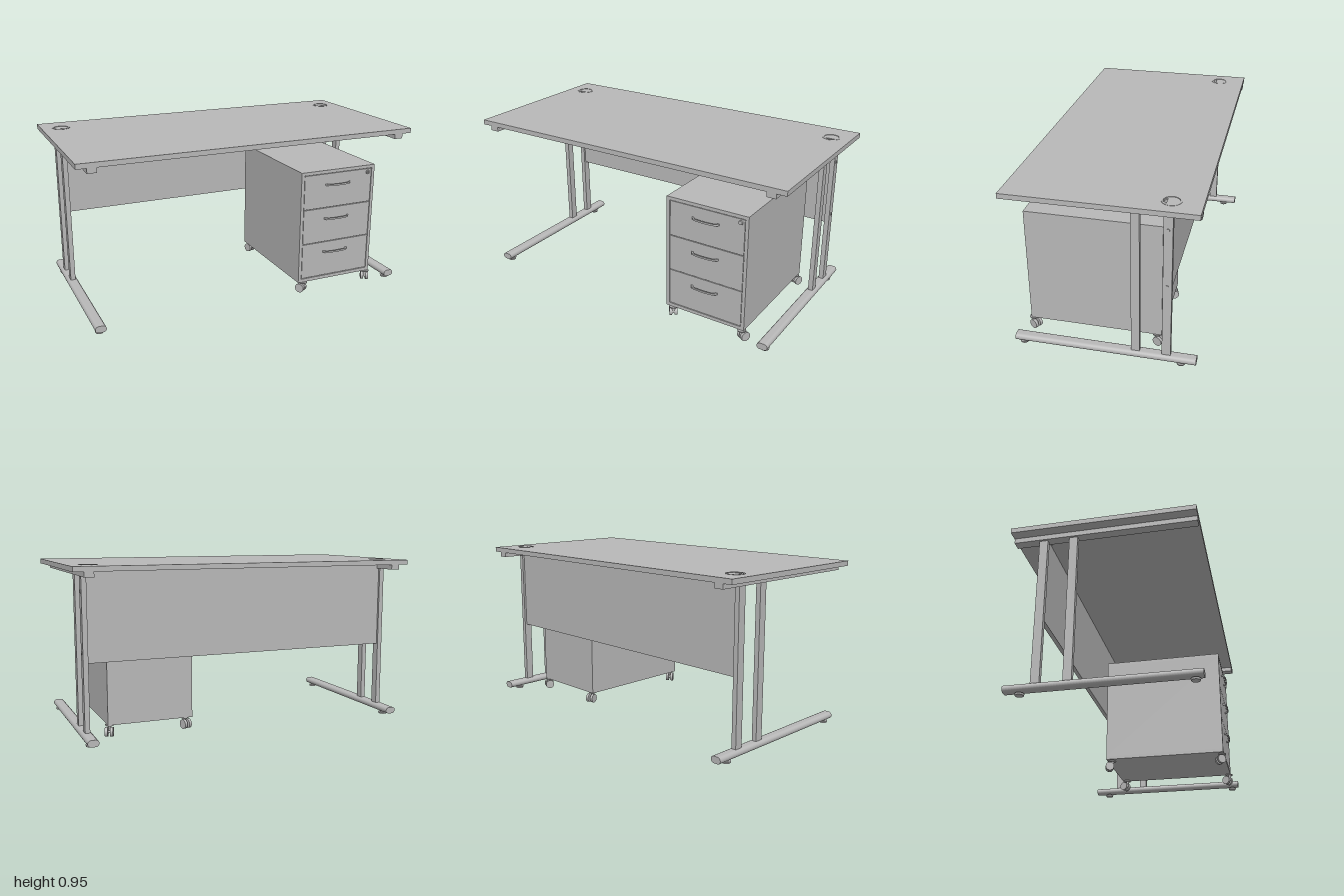
import * as THREE from 'three';

const gray = new THREE.MeshStandardMaterial({ color: 0xb8b8b8 });
gray.name = 'plain gray';

function add(parent, name, geometry, x = 0, y = 0, z = 0) {
  const mesh = new THREE.Mesh(geometry, gray);
  mesh.name = name;
  mesh.position.set(x, y, z);
  parent.add(mesh);
  return mesh;
}

// Box given by its limits on each axis
function block(parent, name, [x0, x1], [y0, y1], [z0, z1]) {
  return add(parent, name, new THREE.BoxGeometry(x1 - x0, y1 - y0, z1 - z0),
    (x0 + x1) / 2, (y0 + y1) / 2, (z0 + z1) / 2);
}

function extrude(shape, depth) {
  return new THREE.ExtrudeGeometry(shape, { depth, bevelEnabled: false, curveSegments: 24 });
}

// Flat plate drawn in plan (shape y points to the back), standing on y
function plate(parent, name, shape, x, y, z, thickness) {
  return add(parent, name, extrude(shape, thickness).rotateX(-Math.PI / 2), x, y, z);
}

function circle(r, x = 0, y = 0, Type = THREE.Shape) {
  const path = new Type();
  path.absarc(x, y, r, 0, Math.PI * 2, false);
  return path;
}

const GROMMET = { x: 0.888, z: -0.343, r: 0.048 };

function createTop() {
  const group = new THREE.Group();
  group.name = 'desktop';
  const board = new THREE.Shape([[-1, -0.5], [1, -0.5], [1, 0.5], [-1, 0.5]].map(p => new THREE.Vector2(...p)));
  for (const s of [-1, 1]) board.holes.push(circle(GROMMET.r, s * GROMMET.x, -GROMMET.z, THREE.Path));
  plate(group, 'worktop', board, 0, 0.925, 0, 0.028);

  // Cable grommets: flush ring and cap with a slot to the front
  for (const s of [-1, 1]) {
    const ring = circle(GROMMET.r + 0.003);
    ring.holes.push(circle(GROMMET.r - 0.006, 0, 0, THREE.Path));
    plate(group, 'grommetRing', ring, s * GROMMET.x, 0.926, GROMMET.z, 0.0285);
    const cap = circle(GROMMET.r - 0.007);
    const slot = new THREE.Path();
    slot.moveTo(-0.026, -0.022);
    slot.lineTo(0.026, -0.022);
    slot.quadraticCurveTo(0.018, -0.036, 0, -0.038);
    slot.quadraticCurveTo(-0.018, -0.036, -0.026, -0.022);
    cap.holes.push(slot);
    plate(group, 'grommetCap', cap, s * GROMMET.x, 0.944, GROMMET.z, 0.008);
  }
  return group;
}

function createLegFrame(x) {
  const group = new THREE.Group();
  group.name = 'legFrame';
  block(group, 'supportBar', [x - 0.026, x + 0.026], [0.897, 0.925], [-0.498, 0.498]);
  block(group, 'frontPost', [x - 0.014, x + 0.014], [0.05, 0.897], [-0.194, -0.148]);
  block(group, 'backPost', [x - 0.014, x + 0.014], [0.05, 0.897], [-0.36, -0.313]);

  // Foot rail with rounded sides
  const r = 0.019, half = 0.012;
  const oval = new THREE.Shape();
  oval.absarc(half, 0, r, -Math.PI / 2, Math.PI / 2, false);
  oval.absarc(-half, 0, r, Math.PI / 2, Math.PI * 1.5, false);
  add(group, 'footRail', extrude(oval, 0.996), x, 0.038, -0.498);

  // Adjustable glides
  for (const z of [0.456, -0.415]) {
    add(group, 'glideDisc', new THREE.CylinderGeometry(0.025, 0.022, 0.01, 24), x, 0.007, z);
    add(group, 'glideStem', new THREE.CylinderGeometry(0.01, 0.014, 0.012, 16), x, 0.016, z);
  }
  return group;
}

function createCastor(x, z, angle) {
  const group = new THREE.Group();
  group.name = 'castor';
  for (const s of [-1, 1]) {
    const wheel = new THREE.CylinderGeometry(0.027, 0.027, 0.016, 24).rotateZ(Math.PI / 2);
    add(group, 'wheel', wheel, s * 0.015, 0.027, -0.01);
  }
  add(group, 'axle', new THREE.CylinderGeometry(0.008, 0.008, 0.03, 12).rotateZ(Math.PI / 2), 0, 0.027, -0.01);
  add(group, 'swivelStem', new THREE.CylinderGeometry(0.009, 0.009, 0.04, 12), 0, 0.045, 0.008);
  add(group, 'mountPlate', new THREE.CylinderGeometry(0.024, 0.024, 0.006, 20), 0, 0.063, 0.004);
  group.position.set(x, 0, z);
  group.rotation.y = angle;
  return group;
}

function createPedestal() {
  const group = new THREE.Group();
  group.name = 'drawerPedestal';
  const X = [0.295, 0.788], Z = [-0.285, 0.46], t = 0.019;
  const inner = [X[0] + t, X[1] - t];
  block(group, 'cabinetTop', X, [0.727, 0.746], Z);
  block(group, 'cabinetBase', X, [0.067, 0.087], Z);
  block(group, 'leftSide', [inner[1], X[1]], [0.087, 0.727], Z);
  block(group, 'rightSide', [X[0], inner[0]], [0.087, 0.727], Z);
  block(group, 'backPanel', inner, [0.087, 0.727], [Z[0], Z[0] + t]);
  block(group, 'drawerBodies', inner, [0.087, 0.727], [-0.2, 0.435]);

  // Drawer fronts with bow handles
  const cx = (X[0] + X[1]) / 2 - 0.004;
  [[0.091, 0.303, 0.243], [0.307, 0.516, 0.452], [0.52, 0.724, 0.659]].forEach(([y0, y1, hy]) => {
    block(group, 'drawerFront', [inner[0] + 0.003, inner[1] - 0.003], [y0, y1], [0.435, 0.459]);
    const bow = new THREE.Shape();
    bow.moveTo(-0.083, 0);
    bow.quadraticCurveTo(-0.078, -0.02, -0.055, -0.024);
    bow.quadraticCurveTo(0, -0.032, 0.055, -0.024);
    bow.quadraticCurveTo(0.078, -0.02, 0.083, 0);
    bow.lineTo(0.072, 0);
    bow.quadraticCurveTo(0.068, -0.014, 0.052, -0.017);
    bow.quadraticCurveTo(0, -0.023, -0.052, -0.017);
    bow.quadraticCurveTo(-0.068, -0.014, -0.072, 0);
    plate(group, 'handle', bow, cx, hy - 0.005, 0.458, 0.01);
  });

  // Lock
  add(group, 'lock', new THREE.CylinderGeometry(0.011, 0.013, 0.008, 20).rotateX(Math.PI / 2), 0.742, 0.704, 0.462);
  block(group, 'keySlot', [0.7405, 0.7435], [0.697, 0.711], [0.465, 0.4675]);

  // Twin-wheel castors turned at various angles
  for (const [x, z, a] of [[0.332, 0.447, 0.6], [0.774, 0.447, -0.5], [0.332, -0.26, 0.3], [0.774, -0.26, -0.4]]) {
    group.add(createCastor(x, z, a));
  }
  return group;
}

export function createModel() {
  const model = new THREE.Group();
  model.name = 'desk';
  model.add(createTop());
  for (const s of [-1, 1]) model.add(createLegFrame(s * 0.917));
  block(model, 'modestyPanel', [-0.903, 0.903], [0.432, 0.925], [-0.348, -0.325]);

  // Panel fixing screws on the outer face of the back post
  for (const y of [0.813, 0.487]) {
    const screw = new THREE.CylinderGeometry(0.009, 0.009, 0.005, 16).rotateZ(Math.PI / 2);
    add(model, 'fixingScrew', screw, 0.932, y, -0.335);
  }
  model.add(createPedestal());
  return model;
}
